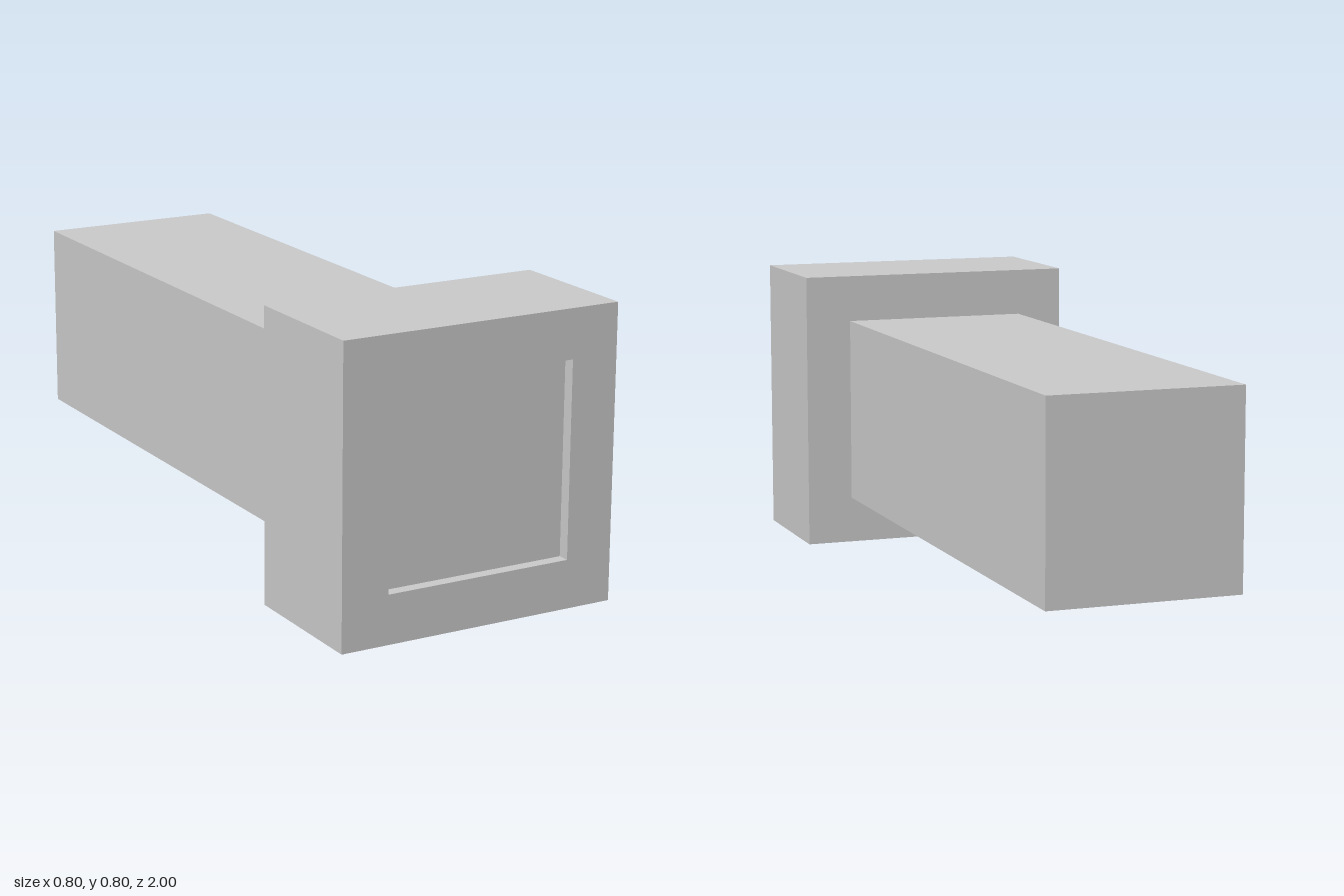
import * as THREE from 'three';

const HEAD = 0.8;         // outer width of the square collar
const SHAFT = 0.5333;     // width of the square shaft
const BACK = -1, COLLAR_BACK = 0.6, FRONT = 1;
const RECESS = 0.033;     // how far the shaft end sits behind the collar face

// Traces a centred square on a Shape or Path
function square(path, size) {
  const h = size / 2;
  path.moveTo(-h, -h);
  path.lineTo(h, -h);
  path.lineTo(h, h);
  path.lineTo(-h, h);
  path.closePath();
  return path;
}

export function createModel() {
  const group = new THREE.Group();
  group.name = 'squareHeadedBeam';
  const material = new THREE.MeshStandardMaterial({ color: 0xcccccc, flatShading: true });

  // Collar: square frame around the front end of the shaft
  const outline = square(new THREE.Shape(), HEAD);
  outline.holes.push(square(new THREE.Path(), SHAFT));
  const collar = new THREE.Mesh(
    new THREE.ExtrudeGeometry(outline, { depth: FRONT - COLLAR_BACK, bevelEnabled: false }),
    material
  );
  collar.name = 'collar';
  collar.position.set(0, HEAD / 2, COLLAR_BACK);
  group.add(collar);

  // Shaft: runs through the collar and stops just short of its face
  const length = FRONT - RECESS - BACK;
  const shaft = new THREE.Mesh(new THREE.BoxGeometry(SHAFT, SHAFT, length), material);
  shaft.name = 'shaft';
  shaft.position.set(0, HEAD / 2, BACK + length / 2);
  group.add(shaft);

  return group;
}
